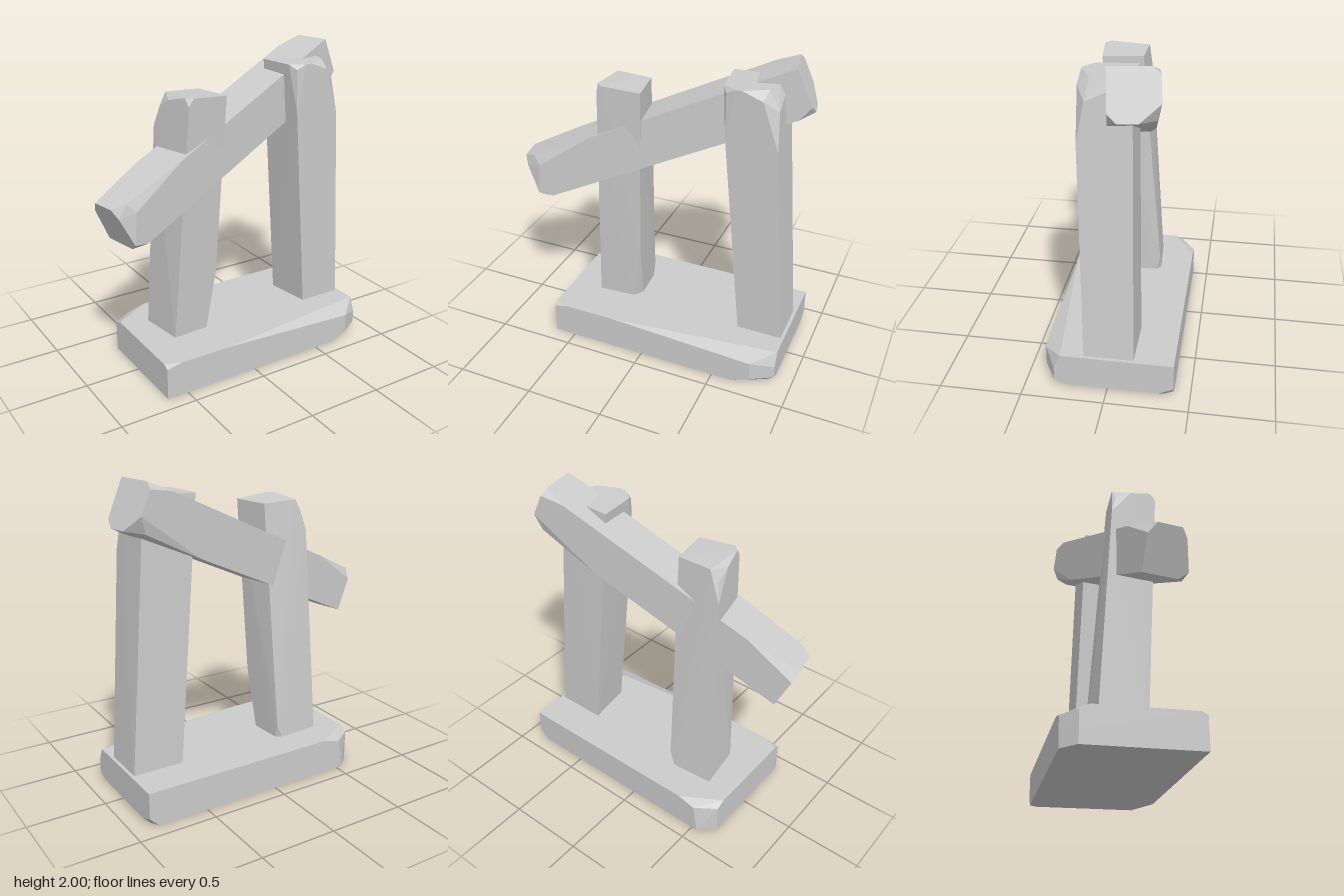
import * as THREE from 'three';
import { ConvexGeometry } from 'three/addons/geometries/ConvexGeometry.js';

const material = new THREE.MeshStandardMaterial({ color: 0xcccccc, flatShading: true });

// Rough-hewn block from 8 corners (index bits: 1 = +x, 2 = +y, 4 = +z).
// cuts[i] replaces corner i by points moved inward along its three edges.
function hewnBlock(name, corners, cuts) {
  const points = [];
  corners.forEach((corner, i) => {
    const edges = [1, 2, 4].map((bit) => corners[i ^ bit].clone().sub(corner).normalize());
    for (const offsets of cuts[i] || [[0, 0, 0]]) {
      const p = corner.clone();
      offsets.forEach((d, axis) => p.addScaledVector(edges[axis], d));
      points.push(p);
    }
  });
  const mesh = new THREE.Mesh(new ConvexGeometry(points), material);
  mesh.name = name;
  return mesh;
}

// Corners of a box given by its limits
function boxCorners([x0, x1], [y0, y1], [z0, z1]) {
  return Array.from({ length: 8 }, (_, i) =>
    new THREE.Vector3(i & 1 ? x1 : x0, i & 2 ? y1 : y0, i & 4 ? z1 : z0));
}

const toVectors = (list) => list.map((p) => new THREE.Vector3(...p));

export function createModel() {
  const group = new THREE.Group();
  group.name = 'leaningBeams';

  // Base slab with worn corners at back left and front right
  group.add(hewnBlock('base', boxCorners([-0.64, 0.89], [0, 0.225], [-0.4, 0.4]), {
    0: [[0.1, 0, 0], [0.13, 0.08, 0], [0, 0.08, 0.09], [0, 0, 0.09]],
    1: [[0.06, 0, 0], [0, 0.06, 0], [0, 0.02, 0.09], [0.03, 0, 0.05]],
    2: [[0.25, 0, 0], [0.13, 0.03, 0], [0, 0.03, 0.09], [0, 0, 0.15]],
    5: [[0.26, 0, 0], [0.14, 0.05, 0], [0, 0.05, 0.08], [0, 0.02, 0.15], [0.05, 0, 0.1]],
    6: [[0, 0.02, 0], [0, 0, 0.04], [0.1, 0, 0]],
    7: [[1.1, 0, 0], [0, 0, 0.12], [0.14, 0.05, 0], [0, 0.09, 0.08]],
  }));

  // Left post, leaning forward
  group.add(hewnBlock('leftPost', toVectors([
    [-0.47, 0.2, -0.18], [-0.16, 0.2, -0.2], [-0.42, 1.78, -0.08], [-0.12, 1.77, -0.07],
    [-0.43, 0.2, 0.12], [-0.14, 0.2, 0.1], [-0.35, 1.79, 0.21], [-0.08, 1.77, 0.18],
  ]), {
    1: [[0.04, 0, 0], [0, 0.12, 0], [0, 0, 0.04]],
    2: [[0.07, 0, 0], [0, 0.2, 0], [0, 0.03, 0.12], [0.02, 0.08, 0.02]],
    5: [[0.05, 0, 0], [0, 0.42, 0], [0, 0, 0.06], [0.08, 0, 0]],
    6: [[0.03, 0, 0], [0, 0.05, 0], [0, 0, 0.04]],
  }));

  // Right post, leaning inward
  group.add(hewnBlock('rightPost', toVectors([
    [0.54, 0.2, -0.16], [0.87, 0.2, -0.16], [0.39, 1.89, -0.12], [0.73, 1.9, -0.13],
    [0.58, 0.2, 0.14], [0.87, 0.2, 0.14], [0.42, 1.89, 0.18], [0.74, 1.9, 0.18],
  ]), {
    6: [[0.08, 0, 0], [0, 0.3, 0], [0, 0, 0.06], [0.02, 0.03, 0.01]],
    7: [[0.2, 0, 0], [0.08, 0.05, 0], [0, 0.35, 0], [0, 0.12, 0.05], [0.06, 0, 0.07], [0.03, 0, 0.16]],
  }));

  // Sloping beam, turned to follow its axis
  const along = new THREE.Vector3(1, 0.464, -0.185).normalize();
  const across = new THREE.Vector3(0.185, 0, 1).normalize();
  const up = new THREE.Vector3().crossVectors(across, along);
  const beam = hewnBlock('slopingBeam', boxCorners([-0.925, 0.925], [-0.147, 0.147], [-0.142, 0.142]), {
    1: [[0.5, 0, 0], [0, 0.1, 0], [0, 0, 0.12], [0.08, 0.02, 0.02]],
    2: [[0.35, 0, 0], [0, 0.07, 0], [0, 0, 0.05]],
    3: [[0.15, 0, 0], [0, 0, 0.05], [0, 0.04, 0]],
    4: [[0.08, 0, 0], [0, 0.05, 0], [0, 0, 0.06]],
    5: [[0.1, 0, 0], [0, 0.05, 0], [0, 0, 0.05]],
    6: [[0.5, 0, 0], [0.08, 0, 0.03], [0, 0, 0.08], [0, 0.06, 0.04], [0.1, 0.07, 0]],
  });
  beam.quaternion.setFromRotationMatrix(new THREE.Matrix4().makeBasis(along, up, across));
  beam.position.set(0, 1.478, 0);
  group.add(beam);

  return group;
}
